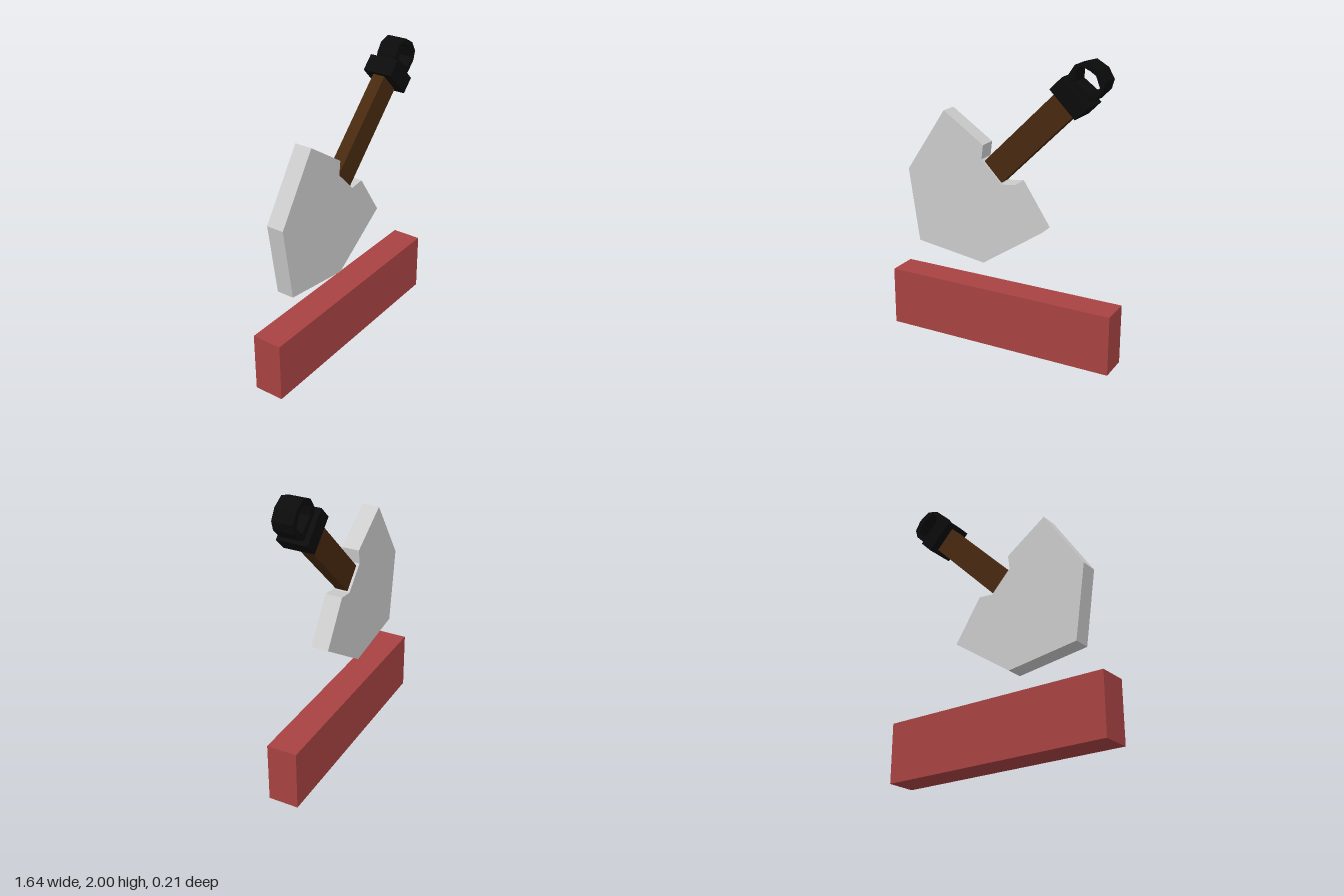
import * as THREE from 'three';

const material = (color) => new THREE.MeshStandardMaterial({ color, flatShading: true });

// Flat plate cut from an outline (and optional hole), centred on z = 0
function plate(name, outline, depth, mat, hole) {
  const toPoints = (list) => list.map(([x, y]) => new THREE.Vector2(x, y));
  const shape = new THREE.Shape(toPoints(outline));
  if (hole) shape.holes.push(new THREE.Path(toPoints(hole)));
  const geometry = new THREE.ExtrudeGeometry(shape, { depth, bevelEnabled: false });
  geometry.translate(0, 0, -depth / 2);
  const mesh = new THREE.Mesh(geometry, mat);
  mesh.name = name;
  return mesh;
}

function box(name, size, position, mat) {
  const mesh = new THREE.Mesh(new THREE.BoxGeometry(...size), mat);
  mesh.name = name;
  mesh.position.set(...position);
  return mesh;
}

export function createModel() {
  const model = new THREE.Group();
  model.name = 'shovelAndBar';
  const grey = material(0xcccccc);
  const wood = material(0x48290f);
  const black = material(0x0b0b0b);
  const red = material(0xa84242);

  // Bar lying on the ground
  model.add(box('bar', [1.64, 0.41, 0.206], [0, 0.205, 0], red));

  // Thick pointed blade with a notch for the handle
  model.add(plate('blade', [
    [-0.405, 1.595], [-0.695, 1.16], [-0.62, 0.653], [-0.114, 0.582], [0.317, 0.872],
    [0.124, 1.165], [0.02, 1.153], [-0.124, 1.302], [-0.112, 1.398],
  ], 0.12, grey));

  // Handle and collar, built upright and tilted 45 degrees
  const shaft = new THREE.Group();
  shaft.name = 'shaft';
  shaft.position.set(-0.047, 1.225, 0);
  shaft.rotation.z = -Math.PI / 4;
  shaft.add(box('handle', [0.18, 0.74, 0.085], [0, 0.365, 0], wood));
  shaft.add(box('collar', [0.242, 0.116, 0.206], [0, 0.776, 0], black));
  model.add(shaft);

  // Faceted grip ring above the collar
  model.add(plate('gripRing', [
    [0.484, 1.915], [0.47, 1.87], [0.59, 1.75], [0.643, 1.762], [0.706, 1.825],
    [0.723, 1.885], [0.683, 1.953], [0.605, 1.998], [0.523, 1.974],
  ], 0.14, black, [
    [0.527, 1.93], [0.562, 1.97], [0.622, 1.945], [0.66, 1.92],
    [0.688, 1.85], [0.627, 1.8], [0.527, 1.873],
  ]));

  return model;
}
